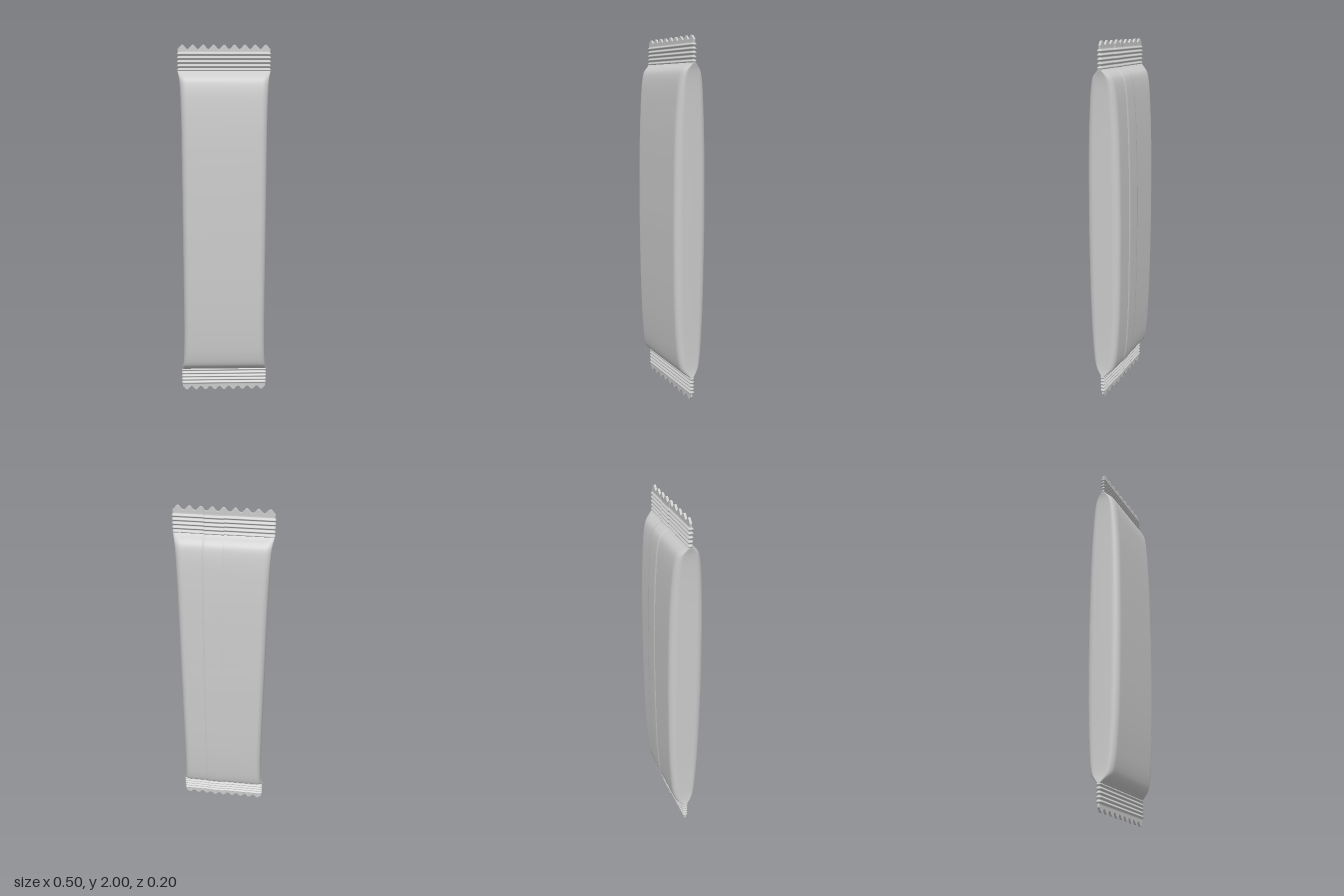
import * as THREE from 'three';

const material = new THREE.MeshStandardMaterial({ color: 0xcccccc, side: THREE.DoubleSide });
const TEETH = 9;

// Front half of a rounded cross-section, running from -x to +x
function halfSection(w, d, flatSteps) {
  const rx = Math.min(0.035, d), rz = d * 0.45, pts = [];
  const corner = 7;
  pts.push([-w, 0]);
  for (let i = 0; i <= corner; i++) {
    const a = (i / corner) * Math.PI / 2;
    pts.push([-w + rx * (1 - Math.cos(a)), d - rz * (1 - Math.sin(a))]);
  }
  for (let i = 1; i < flatSteps; i++) pts.push([(w - rx) * (2 * i / flatSteps - 1), d]);
  for (let i = corner; i >= 0; i--) {
    const a = (i / corner) * Math.PI / 2;
    pts.push([w - rx * (1 - Math.cos(a)), d - rz * (1 - Math.sin(a))]);
  }
  pts.push([w, 0]);
  return pts;
}

// Skins a grid of points; rows go upward
function skin(rows, closed) {
  const n = rows[0].length, pos = rows.flat(2), index = [];
  for (let r = 0; r < rows.length - 1; r++) {
    for (let i = 0; i < (closed ? n : n - 1); i++) {
      const a = r * n + i, b = r * n + (i + 1) % n;
      index.push(a, b, b + n, a, b + n, a + n);
    }
  }
  const g = new THREE.BufferGeometry();
  g.setAttribute('position', new THREE.Float32BufferAttribute(pos, 3));
  g.setIndex(index);
  g.computeVertexNormals();
  return g;
}

// Wavy cut along the outer edge of a seal
const toothDepth = x => 0.011 * (1 + Math.cos((x + 0.25) / 0.5 * TEETH * Math.PI * 2));

function ring({ w, d, y, tip = 0 }, flatSteps) {
  const half = halfSection(w, d, flatSteps);
  const at = (x, z) => [x, y + tip * toothDepth(x), z];
  return [
    ...half.map(([x, z]) => at(x, z)),
    ...half.slice(1, -1).reverse().map(([x, z]) => at(x, -z)),
  ];
}

// Strip between the front and back edge of a ring
function edgeStrip(points) {
  const h = points.length / 2;
  const front = points.slice(0, h + 1);
  const back = [points[0], ...points.slice(h).reverse()];
  return skin([front, back.slice(0, h + 1)], false);
}

// Half-length profile of the pillow: half width, distance from the end, half depth
function bodyProfile() {
  const curve = new THREE.CatmullRomCurve3([
    [0.25, 0.135, 0.008], [0.248, 0.146, 0.02], [0.245, 0.158, 0.036], [0.241, 0.18, 0.055],
    [0.237, 0.23, 0.069], [0.233, 0.38, 0.083], [0.232, 0.6, 0.092], [0.232, 1, 0.097],
  ].map(p => new THREE.Vector3(...p)), false, 'centripetal');
  const low = curve.getPoints(42).map(p => ({ w: p.x, y: p.y, d: p.z }));
  return [...low, ...low.slice(0, -1).reverse().map(p => ({ ...p, y: 2 - p.y }))];
}

// Crimped end: five ridges, then a flat toothed margin
function sealProfile(top) {
  const rows = [{ w: 0.248, d: 0.006, y: 0, tip: 1 }, { w: 0.248, d: 0.006, y: 0.032 }];
  for (let i = 0; i <= 40; i++) {
    const bump = (1 - Math.cos(i / 40 * 5 * Math.PI * 2)) / 2;
    rows.push({ w: 0.246 + 0.006 * bump, d: 0.006 + 0.009 * bump, y: 0.038 + 0.104 * i / 40 });
  }
  return top ? rows.map(p => ({ ...p, y: 2 - p.y, tip: -(p.tip || 0) })).reverse() : rows;
}

// Overlapping layer of film along the back, slightly raised
function seamRows(profile) {
  return profile.map(({ d, y, tip = 0 }) => {
    const row = [];
    for (let i = 0; i <= 16; i++) {
      const x = 0.1 - 0.107 * i / 16;
      const lift = 0.0035 * Math.min(1, 4 * Math.sin(i / 16 * Math.PI));
      row.push([x, y + tip * toothDepth(x), -d - lift]);
    }
    return row;
  });
}

export function createModel() {
  const group = new THREE.Group();
  const add = (name, geometry) => {
    const mesh = new THREE.Mesh(geometry, material);
    mesh.name = name;
    group.add(mesh);
  };

  const body = bodyProfile();
  add('wrapperBody', skin(body.map(p => ring(p, 16)), true));
  add('backSeam', skin(seamRows(body), false));

  for (const top of [false, true]) {
    const side = top ? 'top' : 'bottom';
    const profile = sealProfile(top);
    const rings = profile.map(p => ring(p, 108));
    add(side + 'Seal', skin(rings, true));
    add(side + 'SealEdge', edgeStrip(top ? rings[rings.length - 1] : rings[0]));
    add(side + 'SealSeam', skin(seamRows(profile), false));
  }
  return group;
}
